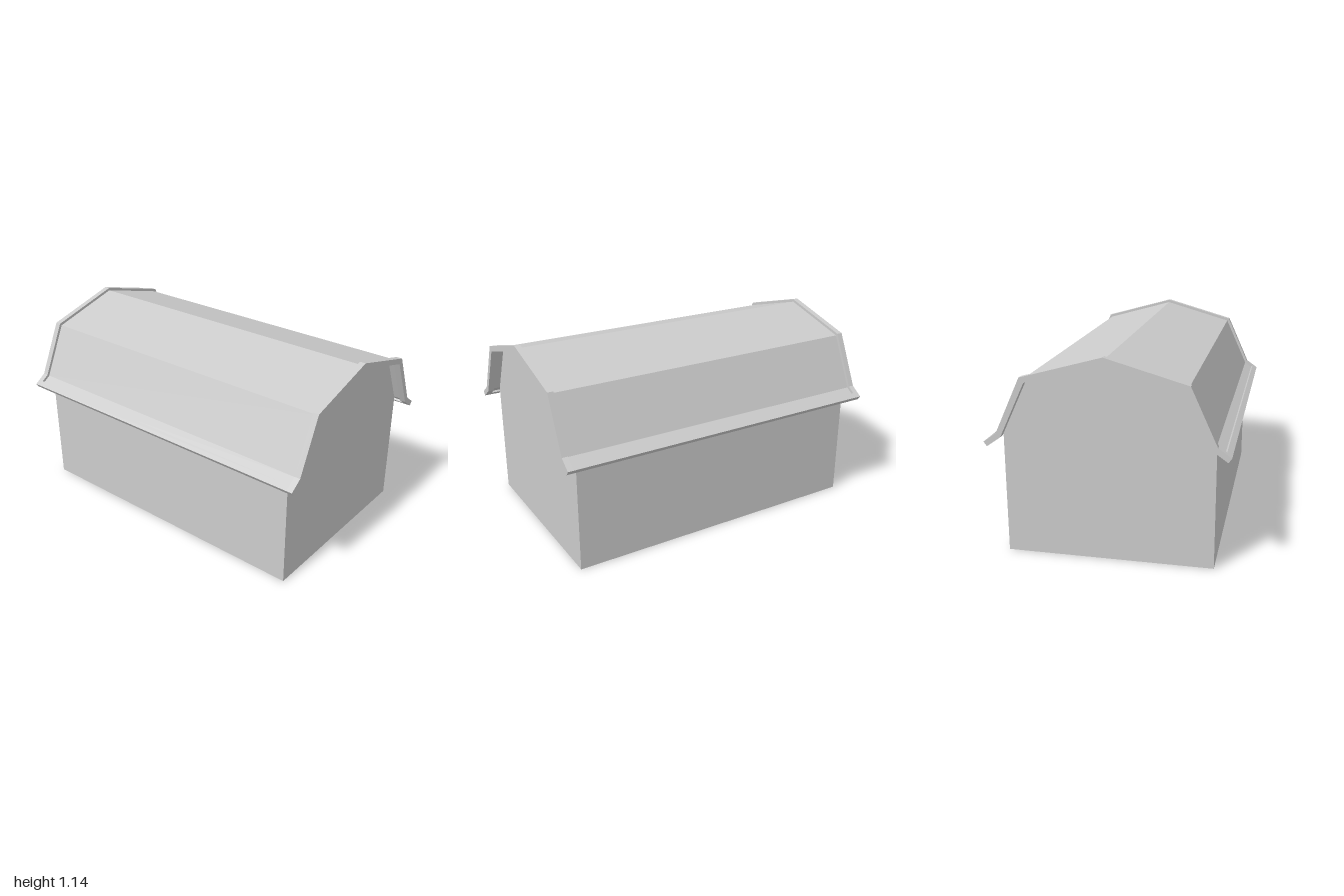
import * as THREE from 'three';

// Half profile of the gambrel roof, ridge to eave: trim upper and lower lines
const UPPER = [[0, 1.145], [0.445, 1.02], [0.587, 0.71], [0.658, 0.66]];
const LOWER = [[0, 1.112], [0.42, 0.993], [0.562, 0.69], [0.64, 0.635]];

const lerp = (a, b, t) => [a[0] + (b[0] - a[0]) * t, a[1] + (b[1] - a[1]) * t];

// Roof line at depth t between the upper (0) and lower (1) lines
const line = (t) => UPPER.map((p, i) => lerp(p, LOWER[i], t));

// Full-width line from the left eave across the ridge to the right eave
const across = (half) => [
  ...half.slice().reverse(),
  ...half.slice(1).map(([x, y]) => [-x, y]),
];

const band = (t0, t1) => [...across(line(t0)), ...across(line(t1)).reverse()];

export function createModel() {
  const model = new THREE.Group();
  const material = new THREE.MeshStandardMaterial({ color: 0xcccccc, flatShading: true });

  // Extrude an outline along z between z0 and z1
  const add = (name, points, z0, z1) => {
    const shape = new THREE.Shape(points.map(([x, y]) => new THREE.Vector2(x, y)));
    const geometry = new THREE.ExtrudeGeometry(shape, { depth: z1 - z0, bevelEnabled: false });
    geometry.translate(0, 0, z0);
    const mesh = new THREE.Mesh(geometry, material);
    mesh.name = name;
    model.add(mesh);
  };

  // Barn walls with gable ends reaching up into the roof
  const gable = line(0.55).slice(0, 2);
  add('walls', [[-0.575, 0], [0.575, 0], [0.575, 0.698], ...across(gable), [-0.575, 0.698]], -0.92, 0.92);

  // Thin roof covering, set halfway into the depth of the trim
  add('roofCovering', band(0.5, 0.6), -0.98, 0.98);

  // Raised trim along both gable ends
  add('frontGableTrim', band(0, 1), 0.965, 1);
  add('backGableTrim', band(0, 1), -1, -0.965);

  // Raised trim along both eaves
  const eave = [
    lerp(UPPER[2], UPPER[3], 0.6), UPPER[3],
    LOWER[3], lerp(LOWER[2], LOWER[3], 0.6),
  ];
  for (const [name, side] of [['leftEaveTrim', 1], ['rightEaveTrim', -1]]) {
    add(name, eave.map(([x, y]) => [x * side, y]), -0.965, 0.965);
  }

  return model;
}
